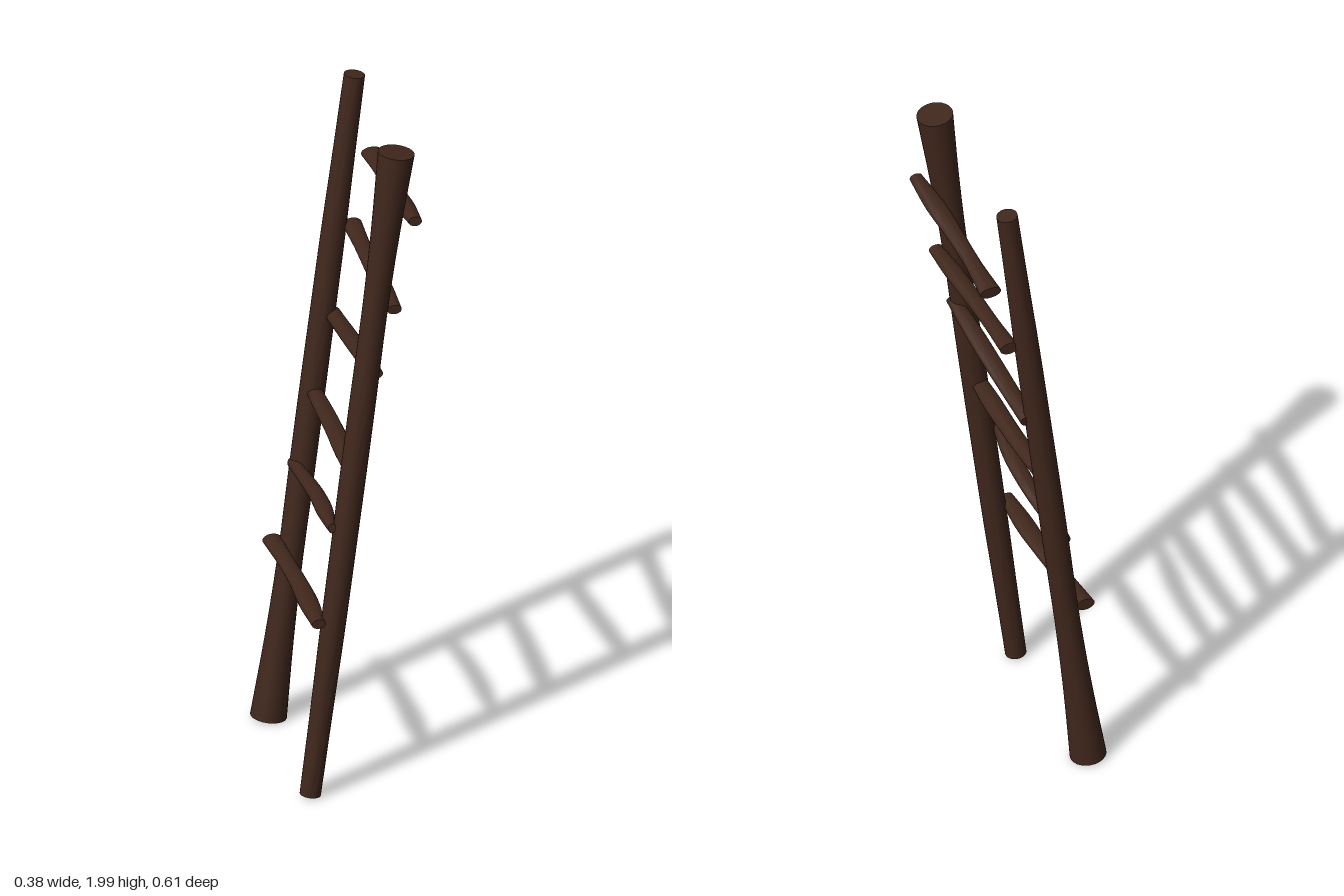
import * as THREE from 'three';
import { toCreasedNormals } from 'three/addons/utils/BufferGeometryUtils.js';

const wood = new THREE.MeshStandardMaterial({ color: 0x40271c });

// Smoothly interpolate evenly spaced values along a pole
function profile(values) {
  const curve = new THREE.CatmullRomCurve3(values.map((v, i) => new THREE.Vector3(i, v, 0)));
  return (t) => curve.getPoint(t).y;
}

// Rough pole along a gently bent path, with oval sections (half width, half depth)
function pole(name, points, widths, depths) {
  const path = new THREE.CatmullRomCurve3(points.map((p) => new THREE.Vector3(...p)));
  const width = profile(widths), depth = profile(depths);
  const axis = path.getPoint(1).sub(path.getPoint(0)).normalize();
  const side = new THREE.Vector3(1, 0, 0).addScaledVector(axis, -axis.x).normalize();
  const out = new THREE.Vector3().crossVectors(side, axis);
  const geo = new THREE.CylinderGeometry(1, 1, 1, 24, 24);
  const pos = geo.attributes.position;
  for (let i = 0; i < pos.count; i++) {
    const t = THREE.MathUtils.clamp(pos.getY(i) + 0.5, 0, 1);
    const p = path.getPoint(t)
      .addScaledVector(side, pos.getX(i) * width(t))
      .addScaledVector(out, pos.getZ(i) * depth(t));
    pos.setXYZ(i, p.x, p.y, p.z);
  }
  const mesh = new THREE.Mesh(toCreasedNormals(geo, 0.8), wood);
  mesh.name = name;
  return mesh;
}

export function createModel() {
  const ladder = new THREE.Group();
  ladder.name = 'ladder';

  // Two leaning rails: one flares at the foot, the other at the top
  const flare = [0.052, 0.041, 0.036, 0.037, 0.037, 0.036, 0.035, 0.032, 0.03];
  const rail = (name, zs, radii) => pole(name, zs.map((z, i) => {
    const t = i / (zs.length - 1);
    return [-0.14 + 0.248 * t, 0.013 + 1.981 * t, z];
  }), radii, radii);
  ladder.add(rail('backRail', [-0.255, -0.25, -0.254, -0.256, -0.255], flare));
  ladder.add(rail('frontRail', [0.253, 0.255, 0.253, 0.25, 0.253], [...flare].reverse()));

  // Uneven rungs: x and y at the back end, middle x, x and y at the front end, back and front z, half widths
  const rungs = [
    [-0.126, 0.556, -0.116, -0.121, 0.553, -0.27, 0.276, [0.028, 0.025, 0.026, 0.029, 0.02]],
    [-0.068, 0.795, -0.061, -0.08, 0.843, -0.26, 0.265, [0.016, 0.022, 0.024, 0.024, 0.011]],
    [-0.012, 1.022, -0.012, -0.022, 1.018, -0.25, 0.272, [0.022, 0.026, 0.027, 0.028, 0.022]],
    [0.044, 1.253, 0.046, 0.047, 1.313, -0.26, 0.265, [0.024, 0.026, 0.027, 0.026, 0.02]],
    [0.102, 1.525, 0.099, 0.1, 1.508, -0.26, 0.265, [0.028, 0.024, 0.025, 0.027, 0.021]],
    [0.16, 1.74, 0.155, 0.16, 1.778, -0.26, 0.266, [0.032, 0.024, 0.025, 0.029, 0.019]],
  ];
  rungs.forEach(([xb, yb, xm, xf, yf, zb, zf, widths], i) => {
    const points = [
      [xb, yb, zb], [xm, (yb + yf) / 2, (zb + zf) / 2], [xf, yf, zf],
    ];
    ladder.add(pole(`rung${i + 1}`, points, widths, [0.018, 0.014, 0.015, 0.016, 0.014]));
  });
  return ladder;
}
